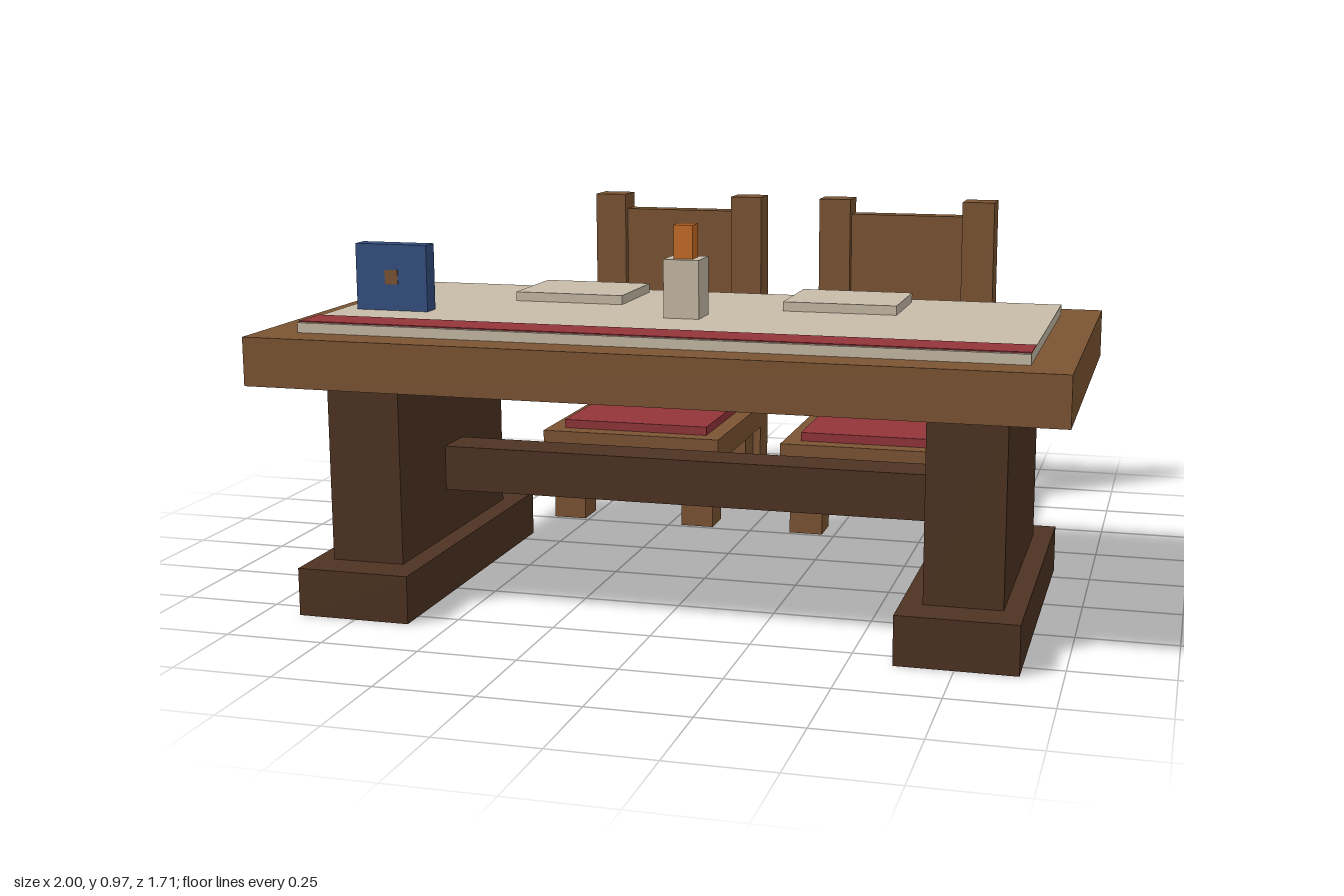
import * as THREE from 'three';

const mat = (name, color) => {
  const m = new THREE.MeshStandardMaterial({ color });
  m.name = name;
  return m;
};

export function createModel() {
  const wood = mat('wood', 0x7d5533);
  const darkWood = mat('dark wood', 0x4e3322);
  const linen = mat('linen', 0xc8bda8);
  const red = mat('red fabric', 0x933539);
  const blue = mat('blue cover', 0x345082);
  const orange = mat('orange flame', 0xc96d28);

  // Box given by its lower and upper limits on each axis
  const box = (parent, name, material, [x0, x1], [y0, y1], [z0, z1]) => {
    const mesh = new THREE.Mesh(new THREE.BoxGeometry(x1 - x0, y1 - y0, z1 - z0), material);
    mesh.position.set((x0 + x1) / 2, (y0 + y1) / 2, (z0 + z1) / 2);
    mesh.name = name;
    parent.add(mesh);
    return mesh;
  };
  // Same box on both sides of x = 0
  const pair = (parent, name, material, [x0, x1], y, z) => {
    box(parent, name + 'Left', material, [x0, x1], y, z);
    box(parent, name + 'Right', material, [-x1, -x0], y, z);
  };
  const group = (parent, name) => {
    const g = new THREE.Group();
    g.name = name;
    parent.add(g);
    return g;
  };

  const model = new THREE.Group();
  model.name = 'diningSet';

  // Trestle table
  const table = group(model, 'table');
  box(table, 'tableTop', wood, [-1, 1], [0.59, 0.712], [-0.115, 0.86]);
  pair(table, 'pedestal', darkWood, [0.66, 0.85], [0.122, 0.59], [0.03, 0.718]);
  pair(table, 'foot', darkWood, [0.607, 0.9], [0, 0.122], [-0.068, 0.816]);
  box(table, 'stretcher', darkWood, [-0.66, 0.66], [0.248, 0.366], [0.315, 0.433]);

  // Cloth with a red border strip, and two place mats
  box(table, 'tablecloth', linen, [-0.9, 0.9], [0.712, 0.737], [-0.02, 0.765]);
  box(table, 'clothStripe', red, [-0.9, 0.9], [0.737, 0.74], [0.65, 0.755]);
  pair(table, 'placeMat', linen, [0.217, 0.512], [0.737, 0.761], [0.027, 0.273]);

  // Candle
  const candle = group(model, 'candle');
  box(candle, 'candleBody', linen, [-0.046, 0.046], [0.737, 0.885], [0.372, 0.465]);
  box(candle, 'flame', orange, [-0.025, 0.025], [0.885, 0.97], [0.395, 0.445]);

  // Standing book with a small square clasp on each cover
  const book = group(model, 'book');
  box(book, 'bookCover', blue, [-0.855, -0.66], [0.737, 0.908], [0.47, 0.52]);
  for (const z of [0.468, 0.52]) {
    box(book, 'bookClasp', wood, [-0.775, -0.74], [0.805, 0.842], [z, z + 0.002]);
  }

  // Two chairs facing the table
  for (const side of [1, -1]) {
    const chair = group(model, side > 0 ? 'chairLeft' : 'chairRight');
    chair.position.x = side * 0.363;
    box(chair, 'seat', wood, [-0.27, 0.27], [0.2, 0.27], [-0.757, -0.238]);
    box(chair, 'cushion', red, [-0.22, 0.22], [0.27, 0.295], [-0.73, -0.29]);
    pair(chair, 'backPost', wood, [0.173, 0.27], [0, 0.932], [-0.853, -0.757]);
    pair(chair, 'frontLeg', wood, [0.15, 0.246], [0, 0.2], [-0.362, -0.263]);
    pair(chair, 'rearLeg', wood, [0.15, 0.246], [0, 0.2], [-0.757, -0.657]);
    box(chair, 'backPanel', wood, [-0.173, 0.173], [0.545, 0.885], [-0.845, -0.782]);
    box(chair, 'backPatch', red, [-0.095, 0.095], [0.61, 0.81], [-0.851, -0.845]);
  }

  return model;
}
